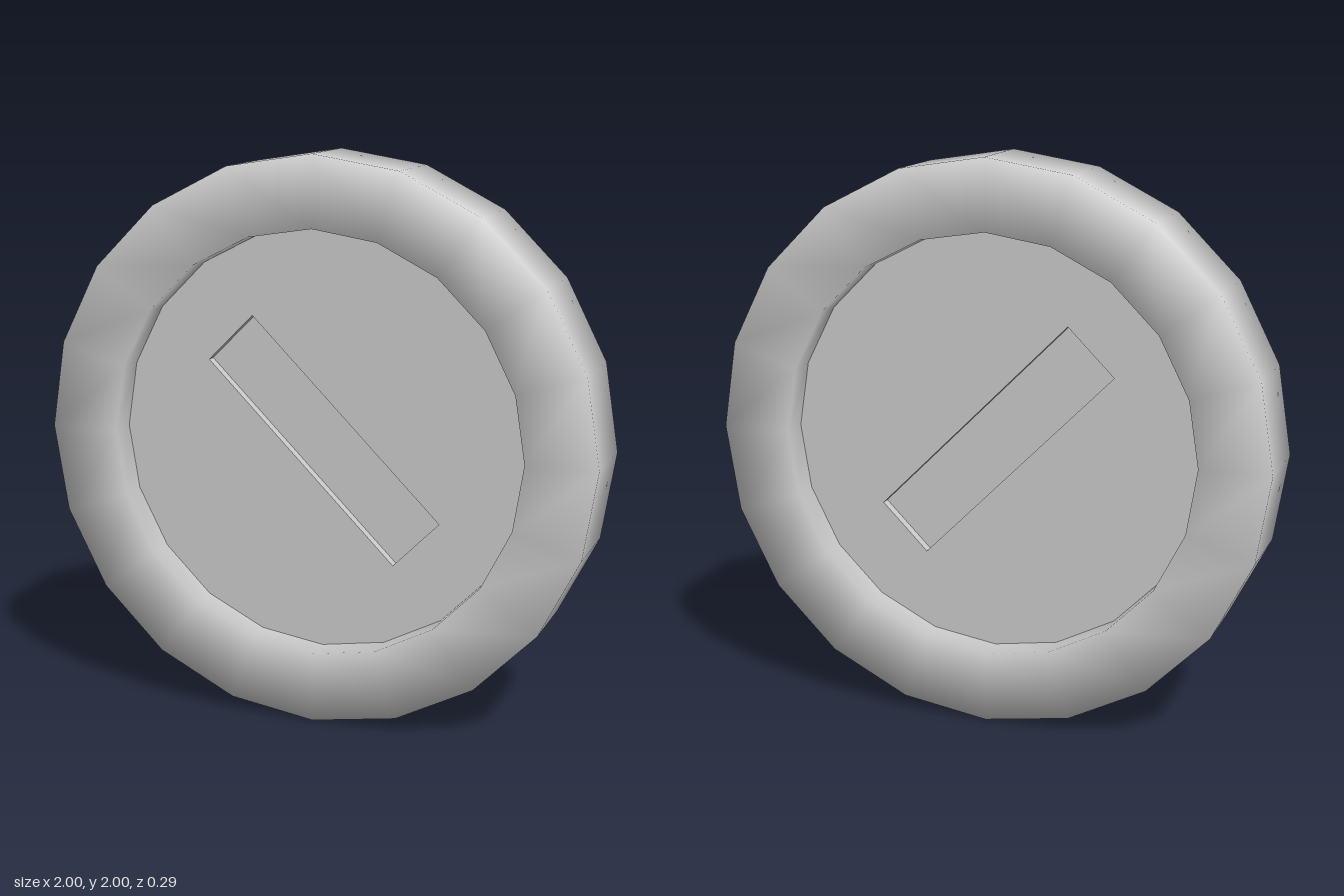
import * as THREE from 'three';

const SIDES = 20;
const INNER = 0.75, HALF = 0.147, FLOOR = 0.043;
const SLOT_LENGTH = 0.975, SLOT_WIDTH = 0.235, SLOT_FLOOR = 0.008;

export function createModel() {
  const model = new THREE.Group();
  model.name = 'coin';
  const material = new THREE.MeshStandardMaterial({ color: 0xcccccc });
  const add = (name, geometry) => {
    const mesh = new THREE.Mesh(geometry, material);
    mesh.name = name;
    mesh.position.y = 1;
    model.add(mesh);
    return mesh;
  };

  // Raised rim, with normals blended across its corners
  const profile = [
    [INNER, -FLOOR], [INNER, -HALF], [1, -HALF],
    [1, HALF], [INNER, HALF], [INNER, FLOOR],
  ].map(([r, z]) => new THREE.Vector2(r, z));
  add('rim', new THREE.LatheGeometry(profile, SIDES).rotateX(Math.PI / 2));

  // Sunken disc with a diagonal slot cut into both faces
  const disc = new THREE.Shape();
  for (let i = 0; i < SIDES; i++) {
    const a = (i / SIDES) * Math.PI * 2;
    disc[i ? 'lineTo' : 'moveTo'](INNER * Math.cos(a), INNER * Math.sin(a));
  }
  disc.closePath();
  const corners = [[-1, -1], [-1, 1], [1, 1], [1, -1]].map(([u, v]) =>
    new THREE.Vector2(u * SLOT_LENGTH / 2, v * SLOT_WIDTH / 2)
      .rotateAround(new THREE.Vector2(), -Math.PI / 4));
  disc.holes.push(new THREE.Path(corners));
  add('disc', new THREE.ExtrudeGeometry(disc, { depth: FLOOR * 2, bevelEnabled: false })
    .translate(0, 0, -FLOOR));

  // Thin web closing the slot between the two faces
  add('slotFloor', new THREE.BoxGeometry(SLOT_LENGTH, SLOT_WIDTH, SLOT_FLOOR * 2))
    .rotation.z = -Math.PI / 4;

  return model;
}
